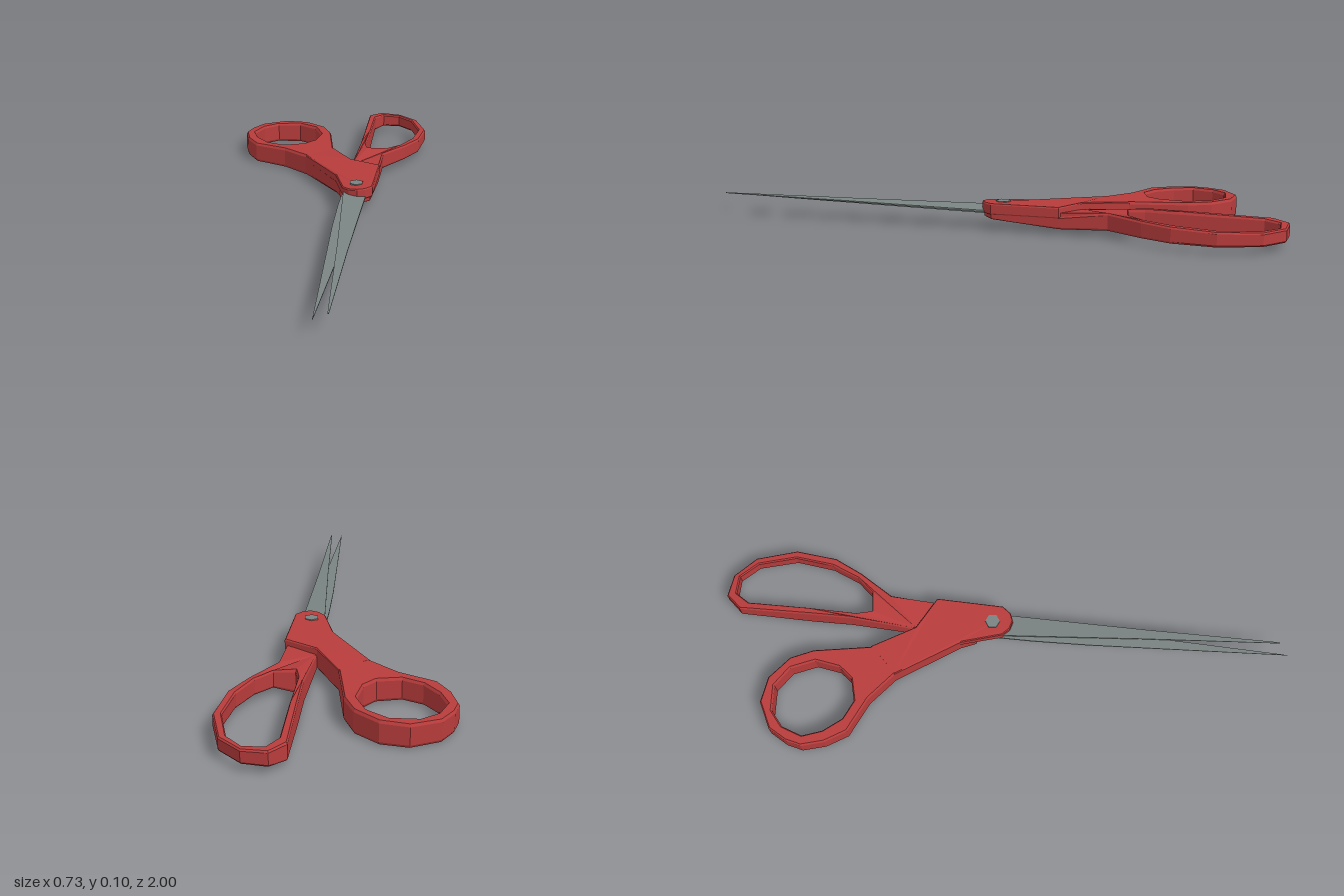
import * as THREE from 'three';

const red = new THREE.MeshStandardMaterial({ color: 0xb83c3c });
red.name = 'red plastic';
const steel = new THREE.MeshStandardMaterial({ color: 0x7a8482 });
steel.name = 'steel';

// Flat part from a clockwise [x, z] outline (and anticlockwise hole);
// bottom(x, z) and top(x, z) give its heights.
function slab(name, material, outline, bottom, top, { hole = null, bevel = 0 } = {}) {
  const toPoints = (list) => list.map(([x, z]) => new THREE.Vector2(x, -z));
  const shape = new THREE.Shape(toPoints(outline));
  if (hole) shape.holes.push(new THREE.Path(toPoints(hole)));
  const edge = bevel > 0 ? 0.15 : 0;
  const geometry = new THREE.ExtrudeGeometry(shape, {
    depth: 1, bevelEnabled: bevel > 0, bevelSegments: 1,
    bevelSize: bevel, bevelOffset: -bevel, bevelThickness: edge,
  });
  geometry.rotateX(-Math.PI / 2);
  const p = geometry.attributes.position;
  for (let i = 0; i < p.count; i++) {
    const x = p.getX(i), z = p.getZ(i);
    const t = (p.getY(i) + edge) / (1 + 2 * edge);
    p.setY(i, THREE.MathUtils.lerp(bottom(x, z), top(x, z), t));
  }
  geometry.computeVertexNormals();
  const mesh = new THREE.Mesh(geometry, material);
  mesh.name = name;
  return mesh;
}

export function createModel() {
  const group = new THREE.Group();
  group.name = 'scissors';

  // Thumb handle: round loop and arm, dipping under the pivot plate
  const plateTop = (x) => Math.min(0.096, 0.085 + (x < 0 ? 0.025 : 0.11) * x);
  const armTop = (x, z) => plateTop(x) - (x > 0 && z > -0.33 ? 0.012 : 0);
  const armBottom = (x) => 0.003 + Math.max(0, 0.13 * (x + 0.05));
  group.add(slab('thumbHandle', red, [
    [-0.367, -0.685], [-0.35, -0.74], [-0.31, -0.8], [-0.215, -0.84], [-0.125, -0.82],
    [-0.05, -0.75], [-0.02, -0.67], [0, -0.47], [0.075, -0.315], [0.07, -0.1],
    [0.045, -0.1], [0.027, -0.155], [-0.1, -0.38], [-0.19, -0.465], [-0.31, -0.53], [-0.35, -0.605],
  ], armBottom, armTop, {
    bevel: 0.005,
    hole: [[-0.31, -0.615], [-0.265, -0.55], [-0.2, -0.515], [-0.12, -0.53], [-0.08, -0.575],
      [-0.06, -0.66], [-0.09, -0.745], [-0.155, -0.795], [-0.245, -0.795], [-0.3, -0.755], [-0.33, -0.685]],
  }));

  // Upper plate of the thumb handle over the pivot
  group.add(slab('pivotPlate', red, [
    [0, -0.47], [0.075, -0.315], [0.185, -0.245], [0.163, -0.01], [0.138, 0.018], [0.11, 0.027],
    [0.08, 0.017], [0.057, -0.01], [0.025, -0.155], [-0.1, -0.38],
  ], () => 0.058, plateTop, { bevel: 0.003 }));

  // Finger handle: long loop, its straight inner bar deeper than the outer arc
  const fingerBottom = (x, z) => (z > -0.2 ? 0.04
    : 0.025 - 0.025 * Math.max(0, 1 - Math.abs(x - 0.12) / 0.07) * (z > -0.7 ? 1 : 0.3));
  const fingerTop = (x, z) => {
    if (z > -0.28) return 0.062;
    if (z > -0.4) return 0.07;
    return 0.088 - 0.04 * Math.max(0, x - 0.12) - 0.03 * Math.max(0, -z - 0.6);
  };
  group.add(slab('fingerHandle', red, [
    [0.13, -0.95], [0.18, -1], [0.26, -0.985], [0.33, -0.91], [0.363, -0.765], [0.335, -0.62],
    [0.28, -0.525], [0.195, -0.41], [0.18, -0.245], [0.155, -0.01], [0.11, 0.02],
    [0.065, -0.01], [0.065, -0.15], [0.075, -0.315], [0.105, -0.55], [0.115, -0.7],
  ], fingerBottom, fingerTop, {
    bevel: 0.004,
    hole: [[0.14, -0.7], [0.125, -0.53], [0.135, -0.475], [0.205, -0.48], [0.26, -0.535], [0.308, -0.63],
      [0.335, -0.765], [0.307, -0.9], [0.255, -0.962], [0.19, -0.967], [0.155, -0.92]],
  }));

  // Two thin blades, slightly tilted and parted at the tips
  const lower = (x, z) => 0.055 + 0.011 * z - 0.05 * (x - 0.1);
  group.add(slab('lowerBlade', steel, [
    [0.022, 1], [0.038, 0.3], [0.047, 0.1], [0.058, -0.05],
    [0.13, -0.05], [0.095, 0.3], [0.06, 0.65], [0.026, 0.97],
  ], lower, (x, z) => lower(x, z) + 0.006 - 0.004 * z));
  const upper = (x, z) => 0.065 + 0.01 * z - 0.1 * (x - 0.1);
  group.add(slab('upperBlade', steel, [
    [0.06, -0.05], [0.145, -0.05], [0.141, 0], [0.1, 0.5], [0.067, 0.97], [0.063, 0.97], [0.064, 0.5],
  ], upper, (x, z) => upper(x, z) + 0.006 - 0.004 * z));

  // Pivot screw
  const screw = new THREE.Mesh(new THREE.CylinderGeometry(0.026, 0.028, 0.05, 6).toNonIndexed(), steel);
  screw.geometry.computeVertexNormals();
  screw.name = 'pivotScrew';
  screw.position.set(0.105, 0.0725, -0.045);
  group.add(screw);

  return group;
}
